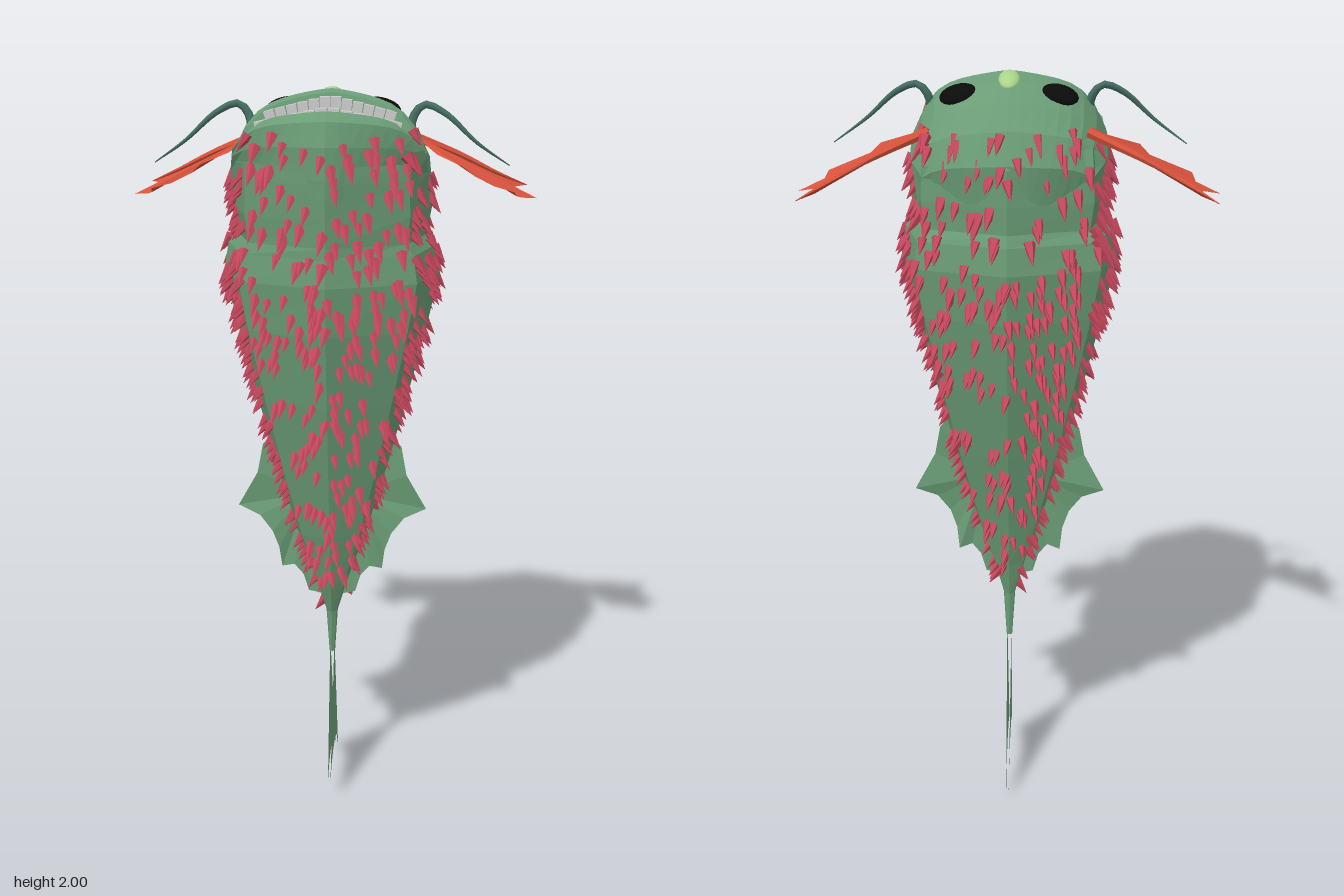
import * as THREE from 'three';
import { mergeGeometries } from 'three/addons/utils/BufferGeometryUtils.js';

const mat = (color, side = THREE.FrontSide, flatShading = true) =>
  new THREE.MeshStandardMaterial({ color, side, flatShading });
const GREEN = mat(0x6a9c76, THREE.DoubleSide);
const FIN = mat(0xd8523c, THREE.DoubleSide);
const SPIKE = mat(0xcc4a60);
const TOOTH = mat(0xbcbcbc);
const MOUTH = mat(0x2f5140, THREE.DoubleSide);
const BARBEL = mat(0x456e60, THREE.FrontSide, false);
const NOSE = mat(0xa8d488, THREE.FrontSide, false);
const EYE = mat(0x0b0b0b, THREE.FrontSide, false);

// Body sections: y, half width, front z, back z (the last only carries spikes)
const RINGS = [
  [0.42, 0.008, -0.005, -0.025], [0.55, 0.016, 0.012, -0.03], [0.65, 0.045, 0.05, -0.052],
  [0.8, 0.097, 0.095, -0.09], [1.0, 0.155, 0.147, -0.145], [1.2, 0.207, 0.197, -0.197],
  [1.4, 0.256, 0.242, -0.242], [1.53, 0.284, 0.257, -0.258], [1.6, 0.272, 0.25, -0.25],
  [1.63, 0.248, 0.25, -0.238], [1.7, 0.26, 0.255, -0.24], [1.79, 0.256, 0.262, -0.238],
  [1.83, 0.252, 0.262, -0.222], [1.92, 0.24, 0.262, -0.17],
];
const SECTION = [[0, 1], [0.8, 0.68], [1, 0.03], [0.83, -0.72], [0, -1],
  [-0.83, -0.72], [-1, 0.03], [-0.8, 0.68], [0, 1]];

const ringPoint = ([y, w, f, b], [kx, kz]) =>
  new THREE.Vector3(kx * w, y, (f + b) / 2 + kz * (f - b) / 2);

// Surface through rows of equal length
function loft(rows) {
  const n = rows[0].length, index = [];
  for (let r = 0; r < rows.length - 1; r++)
    for (let i = 0; i < n - 1; i++) {
      const a = r * n + i, c = a + n;
      index.push(a, a + 1, c + 1, a, c + 1, c);
    }
  const g = new THREE.BufferGeometry().setFromPoints(rows.flat());
  g.setIndex(index);
  g.computeVertexNormals();
  return g;
}

// Drop of an arch from its peak (0) to its edge (1): a gentle roof, then a steep cheek
const drop = (a) => 0.35 * a ** 1.3 + 0.65 * a ** 6;

// Arched row across the head: centre y, z, half width, edge y, z
const archRow = ([yc, zc, hw, ye, ze], zPow, skirt) => {
  const row = [];
  for (let i = -8; i <= 8; i++) {
    const s = i / 8, a = Math.abs(s);
    row.push(new THREE.Vector3(hw * s, yc + (ye - yc) * drop(a), zc + (ze - zc) * a ** zPow));
  }
  if (skirt) {
    const low = (s) => new THREE.Vector3(s * (hw - 0.012), 1.69, ze);
    row.unshift(low(-1));
    row.push(low(1));
  }
  return row;
};

// Webbed fin spread from a root point
function fan(root, pts) {
  const index = [];
  for (let i = 1; i < pts.length; i++) index.push(0, i, i + 1);
  const g = new THREE.BufferGeometry().setFromPoints([root, ...pts].map((p) => new THREE.Vector3(...p)));
  g.setIndex(index);
  g.computeVertexNormals();
  return g;
}

// Tube narrowing to its end
function taperedTube(points, radius) {
  const curve = new THREE.CatmullRomCurve3(points.map((p) => new THREE.Vector3(...p)));
  const seg = 20, rad = 6, g = new THREE.TubeGeometry(curve, seg, radius, rad);
  const pos = g.attributes.position, v = new THREE.Vector3();
  for (let i = 0; i < pos.count; i++) {
    const t = Math.floor(i / (rad + 1)) / seg;
    v.fromBufferAttribute(pos, i).lerp(curve.getPointAt(t), t * 0.9);
    pos.setXYZ(i, v.x, v.y, v.z);
  }
  g.computeVertexNormals();
  return g;
}

// Spikes scattered over the body, leaning toward the tail
function spikes(count) {
  let seed = 7;
  const rnd = () => (seed = (seed * 16807) % 2147483647) / 2147483647;
  const parts = [], up = new THREE.Vector3(0, 1, 0);
  while (parts.length < count) {
    const y = 0.56 + rnd() * 1.33;
    const k = RINGS.findIndex((r) => r[0] > y), a = RINGS[k - 1], b = RINGS[k];
    const ring = a.map((v, i) => THREE.MathUtils.lerp(v, b[i], (y - a[0]) / (b[0] - a[0])));
    if (rnd() > ring[1] / 0.28 + 0.1) continue;
    const i = Math.floor(rnd() * 8);
    const p = ringPoint(ring, SECTION[i]), q = ringPoint(ring, SECTION[i + 1]);
    const normal = new THREE.Vector3(p.z - q.z, 0, q.x - p.x).normalize();
    p.lerp(q, rnd());
    if (normal.dot(new THREE.Vector3(p.x, 0, p.z)) < 0) normal.negate();
    // Keep the face and the mouth corners bare
    if (p.z < 0.14 && y > (p.z < -0.1 ? 1.86 : 1.78)) continue;
    const dir = normal.clone().multiplyScalar(0.6).addScaledVector(up, -0.8).normalize();
    const size = 0.85 + rnd() * 0.4;
    const g = new THREE.ConeGeometry(0.0145 * size, 0.05 * size, 5);
    g.applyQuaternion(new THREE.Quaternion().setFromUnitVectors(up, dir));
    p.addScaledVector(normal, 0.01);
    parts.push(g.translate(p.x, p.y, p.z));
  }
  return mergeGeometries(parts);
}

export function createModel() {
  const model = new THREE.Group();
  const add = (name, geometry, material, parent = model) => {
    const m = new THREE.Mesh(geometry, material);
    m.name = name;
    parent.add(m);
    return m;
  };

  // Body
  add('body', loft(RINGS.slice(0, -1).map((r) => SECTION.map((k) => ringPoint(r, k)))), GREEN);
  add('spikes', spikes(780), SPIKE);

  // Upper head, from the palate over the lip and down the nape
  add('upperHead', loft([
    [1.82, 0.04, 0.2, 1.81, 0.09], [1.965, 0.045, 0.22, 1.84, 0.1], [1.99, 0.036, 0.24, 1.845, 0.1],
    [1.998, 0.015, 0.246, 1.845, 0.08], [1.98, -0.06, 0.252, 1.83, 0.02], [1.94, -0.14, 0.25, 1.8, -0.06],
    [1.88, -0.2, 0.24, 1.79, -0.13], [1.8, -0.235, 0.212, 1.76, -0.17], [1.69, -0.225, 0.2, 1.69, -0.15],
  ].map((r) => archRow(r, 2, true))), GREEN);

  // Lower jaw, from the chin over the lip into the mouth
  add('lowerJaw', loft([
    [1.75, 0.261, 0.25, 1.75, 0.08], [1.8, 0.263, 0.25, 1.8, 0.1], [1.88, 0.262, 0.244, 1.84, 0.13],
    [1.94, 0.245, 0.24, 1.86, 0.14], [1.96, 0.2, 0.225, 1.87, 0.145], [1.94, 0.17, 0.21, 1.85, 0.14],
    [1.81, 0.155, 0.2, 1.81, 0.12],
  ].map((r) => archRow(r, 1.3, false))), GREEN);

  // Mouth lining and throat
  const disc = (name, material, y, z, rx, rz) => {
    const m = add(name, new THREE.CircleGeometry(1, 24), material);
    m.rotation.x = -Math.PI / 2;
    m.scale.set(rx, rz, 1);
    m.position.set(0, y, z);
  };
  disc('mouthLining', GREEN, 1.827, 0.1, 0.245, 0.1);
  disc('throat', MOUTH, 1.836, 0.11, 0.18, 0.05);

  // Teeth
  const teeth = new THREE.Group();
  teeth.name = 'teeth';
  model.add(teeth);
  for (let i = 0; i < 12; i++) {
    const s = (i - 5.5) / 5.5, a = Math.abs(s);
    const upper = add('upperTooth', new THREE.BoxGeometry(0.026, 0.036, 0.024), TOOTH, teeth);
    upper.position.set(s * 0.15, 1.966 - 0.035 * a, 0.052 + 0.022 * s * s);
    upper.rotation.z = -s * 0.3;
    const lower = add('lowerTooth', new THREE.BoxGeometry(0.028, 0.042, 0.022), TOOTH, teeth);
    lower.position.set(s * 0.165, 1.945 - 0.035 * a, 0.157 - 0.006 * s * s);
    lower.rotation.z = -s * 0.25;
  }

  // Nose
  const nose = add('nose', new THREE.SphereGeometry(1, 16, 10), NOSE);
  nose.scale.set(0.028, 0.016, 0.055);
  nose.position.set(0, 1.98, -0.035);
  nose.rotation.x = -0.25;

  for (const s of [1, -1]) {
    const side = s > 0 ? 'left' : 'right';
    const flip = (pts) => pts.map(([x, y, z]) => [s * x, y, z]);

    // Eyes
    const eye = add(side + 'Eye', new THREE.SphereGeometry(1, 18, 12), EYE);
    eye.scale.set(0.048, 0.017, 0.04);
    eye.position.set(s * 0.128, 1.948, -0.058);
    eye.rotation.set(-0.4, 0, -s * 0.25);

    // Barbels
    add(side + 'Barbel', taperedTube(flip([[0.215, 1.84, 0.07], [0.205, 1.92, 0.035], [0.235, 1.96, 0.03],
      [0.29, 1.94, 0.045], [0.37, 1.87, 0.058], [0.455, 1.81, 0.035]]), 0.014), BARBEL);

    // Pectoral fins, pleated between the rays
    const lift = (x, z, dip) => [x, 1.835 - (x - 0.28) * 0.5 - dip, z];
    const outline = [[0.33, -0.165, 0], [0.43, -0.188, 0], [0.515, -0.253, 0], [0.478, -0.19, 0.014],
      [0.47, -0.158, 0.014], [0.49, -0.12, 0.01], [0.535, -0.09, 0], [0.495, -0.06, 0.014], [0.478, -0.03, 0.014],
      [0.47, 0.02, 0], [0.42, 0.0, 0.014], [0.37, 0.003, 0.014], [0.335, 0.046, 0], [0.27, -0.01, 0.01],
      [0.21, -0.08, 0]].map((p) => lift(...p));
    add(side + 'PectoralFin', fan(flip([[0.2, 1.872, -0.12]])[0], flip(outline)), FIN);
    add(side + 'PectoralFinEdge', taperedTube(flip([[0.2, 1.865, -0.12], ...outline.slice(0, 3)]), 0.014), FIN);

    // Rear side fins
    add(side + 'RearFin', fan([s * 0.07, 0.9, 0], flip([[0.14, 1.1, 0], [0.19, 1.04, 0], [0.205, 0.96, 0.005],
      [0.26, 0.86, -0.005], [0.2, 0.835, 0.006], [0.165, 0.79, 0.01], [0.147, 0.74, 0.006], [0.14, 0.68, -0.005],
      [0.105, 0.69, 0.005], [0.08, 0.66, 0.003], [0.065, 0.61, 0], [0.02, 0.6, 0]])), GREEN);
  }

  // Tail fin, two close faces
  for (const x of [0.006, -0.006])
    add('tailFin', fan([x, 0.46, -0.016], [[0.065, 0.115], [0.095, 0.07], [0.105, 0],
      [0.1, -0.09], [0.07, -0.16], [0, -0.22]].map(([y, z]) => [x * 0.6, y, z])), GREEN);

  return model;
}
